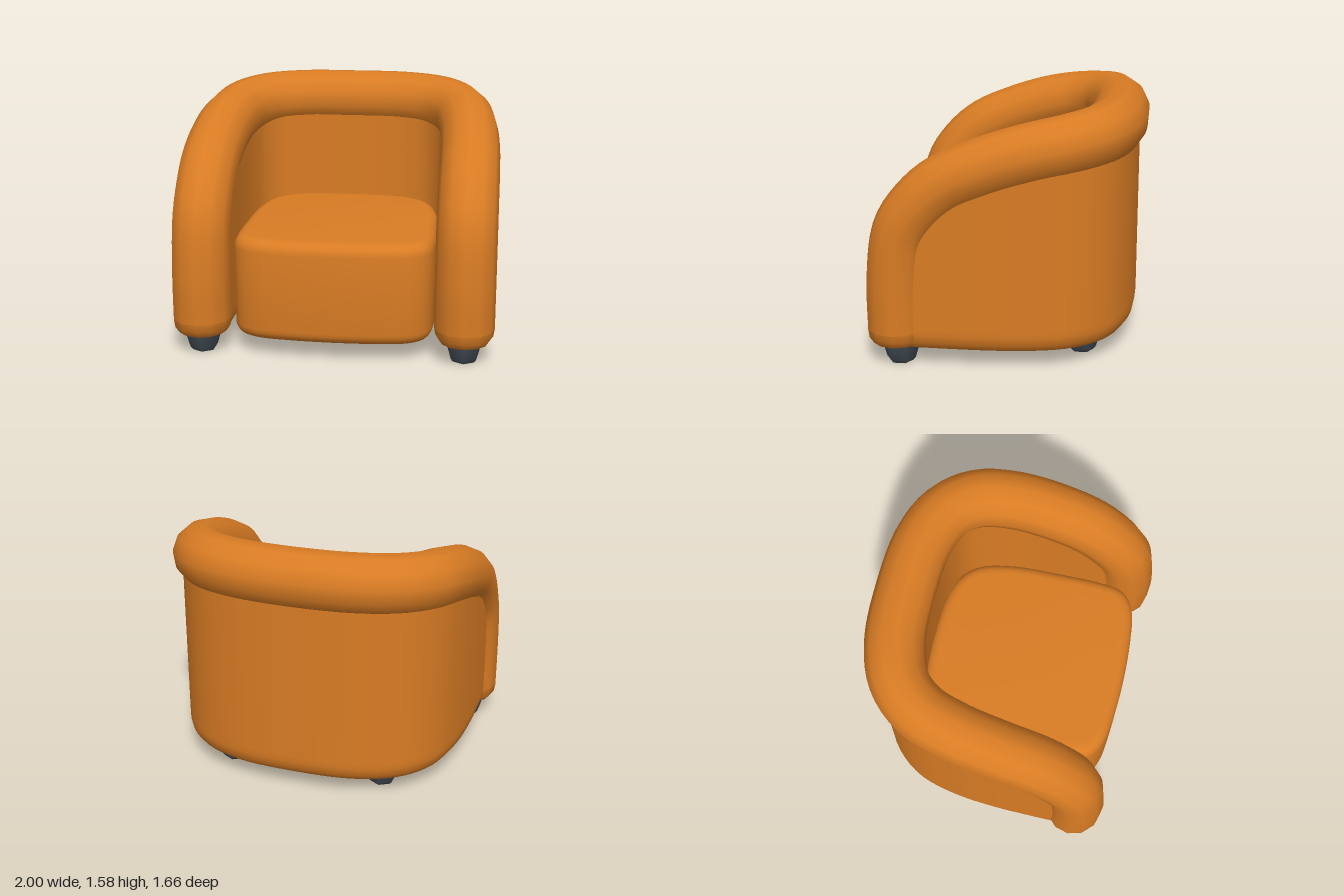
import * as THREE from 'three';
import { toCreasedNormals } from 'three/addons/utils/BufferGeometryUtils.js';

const fabric = new THREE.MeshStandardMaterial({ color: 0xd97c24 });
fabric.name = 'orangeFabric';
const footPaint = new THREE.MeshStandardMaterial({ color: 0x465058 });
footPaint.name = 'darkGreyFoot';

const ROLL_RADIUS = 0.185;

// Centre line of the padded roll, from the left arm front to the middle of the back
const halfPath = [
  [0.815, 0.22, 0.645], [0.815, 0.5, 0.645], [0.815, 0.82, 0.6], [0.815, 0.97, 0.51],
  [0.815, 1.12, 0.35], [0.81, 1.235, 0.1], [0.785, 1.315, -0.15], [0.72, 1.36, -0.37],
  [0.58, 1.385, -0.53], [0.35, 1.395, -0.62], [0, 1.395, -0.645],
].map(p => new THREE.Vector3(...p));

// Mirror a half outline in x, leaving out the shared middle point
function mirrored(points) {
  const other = points.slice(0, -1).reverse().map(p => new THREE.Vector3(-p.x, p.y, p.z));
  return [...points, ...other];
}

function addMesh(parent, name, geometry, material) {
  const mesh = new THREE.Mesh(geometry, material);
  mesh.name = name;
  parent.add(mesh);
  return mesh;
}

// Upholstered wall: a section swept under the roll, its top hidden in the roll
function wallGeometry(curve) {
  const steps = 72, first = 0.1, last = 0.9;
  const section = [
    [0.125, null], [0.125, 0.25], [0.125, 0.21], [0.115, 0.16], [0.085, 0.12], [0.04, 0.1],
    [0, 0.1], [-0.11, 0.1], [-0.14, 0.12], [-0.15, 0.15], [-0.15, 0.2], [-0.15, null],
  ];
  const positions = [], index = [];
  const rows = [];
  for (let i = 0; i <= steps; i++) rows.push([first + (last - first) * i / steps, 1]);
  rows.unshift([first, 0]); // collapsed loops close both ends
  rows.push([last, 0]);
  for (const [t, spread] of rows) {
    const p = curve.getPoint(t), d = curve.getTangent(t);
    const len = Math.hypot(d.x, d.z);
    const nx = -d.z / len, nz = d.x / len;
    for (const [offset, y] of section) {
      positions.push(p.x + nx * offset * spread, y ?? p.y, p.z + nz * offset * spread);
    }
  }
  const n = section.length;
  for (let i = 0; i < rows.length - 1; i++) {
    for (let j = 0; j < n - 1; j++) {
      const a = i * n + j, b = a + n, c = a + 1, e = b + 1;
      index.push(a, c, b, b, c, e);
    }
  }
  const g = new THREE.BufferGeometry();
  g.setAttribute('position', new THREE.Float32BufferAttribute(positions, 3));
  g.setIndex(index);
  return toCreasedNormals(g, 0.8);
}

// Seat block: rounded plan with a bowed front, softened all round
function seatGeometry() {
  const bevel = 0.075;
  const half = [
    [0, 0.71], [0.25, 0.7], [0.45, 0.67], [0.525, 0.615], [0.545, 0.5], [0.545, 0.2],
    [0.53, -0.1], [0.47, -0.31], [0.35, -0.4], [0, -0.44],
  ].map(([x, z]) => new THREE.Vector3(x, 0, z));
  const loop = mirrored(half).slice(0, -1);
  const outline = new THREE.CatmullRomCurve3(loop, true).getPoints(72).slice(0, -1);
  const shape = new THREE.Shape(outline.map(p => new THREE.Vector2(p.x, p.z)));
  const g = new THREE.ExtrudeGeometry(shape, {
    depth: 0.64 - 2 * bevel, bevelEnabled: true, bevelSize: bevel, bevelThickness: bevel, bevelSegments: 5,
  });
  g.rotateX(Math.PI / 2);
  g.translate(0, 0.75 - bevel, 0);
  return toCreasedNormals(g, 0.7);
}

const profile = points => points.map(([r, y]) => new THREE.Vector2(r, y));

export function createModel() {
  const chair = new THREE.Group();
  chair.name = 'armchair';

  // Continuous roll over both arms and the back
  const curve = new THREE.CatmullRomCurve3(mirrored(halfPath));
  addMesh(chair, 'armAndBackRoll', new THREE.TubeGeometry(curve, 96, ROLL_RADIUS, 12), fabric);

  addMesh(chair, 'wall', wallGeometry(curve), fabric);
  addMesh(chair, 'seat', seatGeometry(), fabric);

  // Rounded lower ends of the arms, and the four tapered feet
  const armEnd = new THREE.LatheGeometry(profile([
    [0, 0.11], [0.1, 0.11], [0.15, 0.13], [0.177, 0.17], [ROLL_RADIUS, 0.22],
  ]), 12);
  const foot = toCreasedNormals(new THREE.LatheGeometry(profile([
    [0, 0], [0.075, 0], [0.09, 0.02], [0.12, 0.125], [0, 0.125],
  ]), 6), 1.1);
  for (const [side, s] of [['left', 1], ['right', -1]]) {
    addMesh(chair, side + 'ArmEnd', armEnd, fabric).position.set(s * 0.815, 0, 0.645);
    addMesh(chair, side + 'FrontFoot', foot, footPaint).position.set(s * 0.815, 0, 0.625);
    addMesh(chair, side + 'BackFoot', foot, footPaint).position.set(s * 0.5, 0, -0.46);
  }
  return chair;
}
